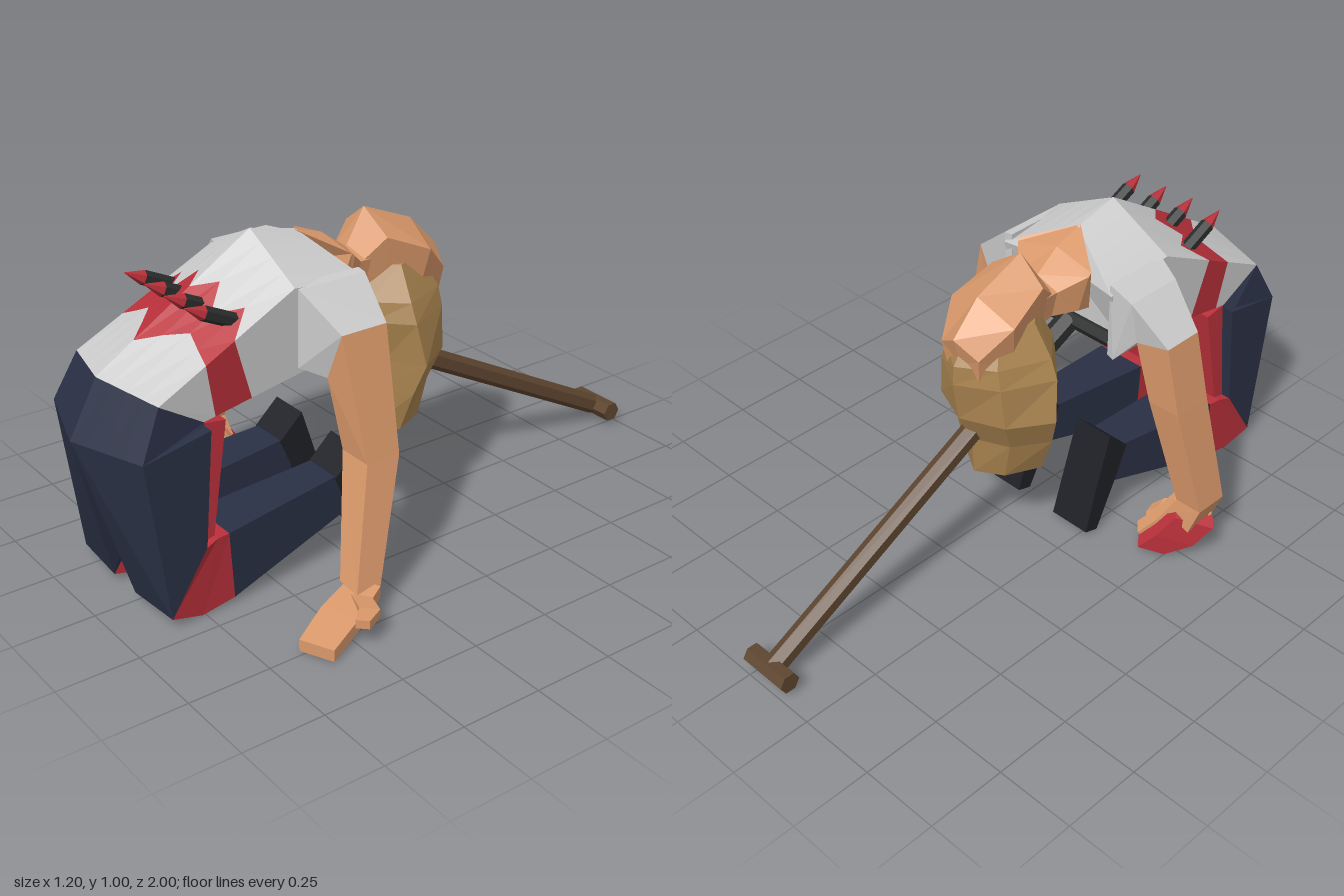
import * as THREE from 'three';

const CX = -0.06; // body centre line
const mat = (color) => new THREE.MeshStandardMaterial({ color, flatShading: true });
const SKIN = mat(0xd9986a), NAVY = mat(0x2a3045), RED = mat(0xb9303a), SHIRT = mat(0xcccccc);
const DARK = mat(0x2b2e2d), BOOT = mat(0x1e2026), WOOD = mat(0x5f4630), HAIR = mat(0xa9834f);
const lerp = THREE.MathUtils.lerp;

// Closed faceted solid through rings of equal point count, turned outward by its signed volume
function loft(name, material, rings) {
  const tris = [], n = rings[0].length;
  for (let i = 0; i < rings.length - 1; i++) {
    for (let j = 0; j < n; j++) {
      const k = (j + 1) % n, a = rings[i], b = rings[i + 1];
      tris.push([a[j], a[k], b[k]], [a[j], b[k], b[j]]);
    }
  }
  const cap = (r, flip) => {
    const c = [0, 1, 2].map((d) => r.reduce((s, p) => s + p[d], 0) / n);
    r.forEach((p, j) => {
      const q = r[(j + 1) % n];
      tris.push(flip ? [c, q, p] : [c, p, q]);
    });
  };
  cap(rings[0], true);
  cap(rings[rings.length - 1], false);
  let vol = 0;
  const v = (p) => new THREE.Vector3(...p);
  tris.forEach(([a, b, c]) => { vol += v(a).dot(v(b).cross(v(c))); });
  const pos = tris.flatMap(([a, b, c]) => (vol < 0 ? [...a, ...c, ...b] : [...a, ...b, ...c]));
  const geo = new THREE.BufferGeometry();
  geo.setAttribute('position', new THREE.Float32BufferAttribute(pos, 3));
  geo.computeVertexNormals();
  const mesh = new THREE.Mesh(geo, material);
  mesh.name = name;
  return mesh;
}

// Straight rod between two points
function rod(name, material, a, b, r0, r1 = r0, sides = 6) {
  const A = new THREE.Vector3(...a), d = new THREE.Vector3(...b).sub(A);
  const mesh = new THREE.Mesh(new THREE.CylinderGeometry(r1, r0, d.length(), sides), material);
  mesh.position.copy(A).addScaledVector(d, 0.5);
  mesh.quaternion.setFromUnitVectors(new THREE.Vector3(0, 1, 0), d.normalize());
  mesh.name = name;
  return mesh;
}

// Torso ring: ridged top side of nine points (each shifted by t) and a flat underside
function torsoRing(point, under) {
  const top = [];
  for (let i = 0; i <= 8; i++) top.push(point(i / 4 - 1, i));
  const [hw, z, y] = under;
  return [...top, [CX + hw * 0.95, y, z], [CX, y, z], [CX - hw * 0.95, y, z]];
}
const ridge = (hw, c, s, b) => torsoRing((u) => {
  const k = Math.abs(u);
  return [CX + u * hw, lerp(c[1], s[1], k), lerp(c[0], s[0], k)];
}, [hw, ...b]);
// Ring on the belly surface, ts giving the position along it from centre to side
const belly = (ts, tb) => torsoRing((u, i) => {
  const k = Math.abs(u), t = ts[Math.abs(i - 4)];
  return [CX + u * (0.225 - 0.01 * t),
    lerp(0.69 + 0.31 * t, 0.67 + 0.22 * t, k), lerp(0.91 - 0.5 * t, 0.85 - 0.44 * t, k)];
}, [0.225 - 0.01 * tb, 0.71 - 0.37 * tb, 0.58 + 0.06 * tb]);

// Five-sided section: top point, two sides, two bottom points, each as [z, y]
const section = (hw, t, s, b) => [[CX, t[1], t[0]], [CX + hw, s[1], s[0]],
  [CX + hw * 0.75, b[1], b[0]], [CX - hw * 0.75, b[1], b[0]], [CX - hw, s[1], s[0]]];

// Arm section: outer and inner edge, front and back z
const armRing = ([xo, yo, xi, yi, zf, zb]) =>
  [[xo, yo, zf], [xo, yo, zb], [xi, yi, zb], [xi, yi, zf]];

// Flat four-sided strip along a path, u and v being half width and half thickness
const slab = (path, u, v) => path.map(([x, y, z, k = 1]) =>
  [[1, 1], [1, -1], [-1, -1], [-1, 1]].map(([a, b]) =>
    [x + k * a * u[0] + b * v[0], y + k * a * u[1] + b * v[1], z + k * a * u[2] + b * v[2]]));

function torso() {
  const g = new THREE.Group();
  g.name = 'torso';
  const hip = ridge(0.25, [1.0, 0.525], [0.92, 0.53], [0.72, 0.54]);
  const flat = (t) => belly([t, t, t, t, t], t);
  const low = belly([0.24, 0.34, 0.43, 0.385, 0.34], 0.1);
  const high = belly([0.6, 0.72, 0.57, 0.72, 0.55], 0.42);
  const collar = ridge(0.215, [0.26, 0.965], [0.17, 0.86], [0.22, 0.7]);
  g.add(loft('hips', NAVY, [hip, flat(0)]));
  g.add(loft('shirtHem', SHIRT, [flat(0), low]));
  g.add(loft('stainedBand', RED, [low, high]));
  g.add(loft('shirtChest', SHIRT, [high, flat(1), collar]));
  return g;
}

function head() {
  const g = new THREE.Group();
  g.name = 'head';
  g.add(loft('neck', SKIN, [
    section(0.14, [0.27, 0.967], [0.165, 0.91], [0.2, 0.76]),
    section(0.14, [0.17, 0.935], [0.155, 0.9], [0.155, 0.77]),
    section(0.08, [0.09, 0.875], [0.09, 0.85], [0.09, 0.76]),
    section(0.08, [0, 0.88], [0, 0.85], [0, 0.74])]));
  g.add(loft('face', SKIN, [
    section(0.07, [0.085, 0.87], [0.085, 0.84], [0.07, 0.74]),
    section(0.1, [0.02, 0.98], [0.01, 0.91], [0, 0.72]),
    section(0.125, [-0.15, 0.91], [-0.13, 0.85], [-0.1, 0.68]),
    section(0.075, [-0.245, 0.81], [-0.22, 0.76], [-0.2, 0.62])]));
  const hairRing = ([y, hw, zb, zf]) => {
    const half = [[0.62, 0.22], [1, 0.7], [0.5, 1]].map(([k, f]) => [k * hw, lerp(zb, zf, f)]);
    return [[CX, y, zb], ...half.map(([x, z]) => [CX + x, y, z]),
      ...half.reverse().map(([x, z]) => [CX - x, y, z])];
  };
  g.add(loft('hair', HAIR, [[0.82, 0.11, -0.18, 0.03], [0.72, 0.17, -0.245, 0.07], [0.66, 0.195, -0.25, 0.07],
    [0.53, 0.215, -0.23, 0.03], [0.43, 0.18, -0.18, 0.04], [0.3, 0.13, -0.17, 0.05]].map(hairRing)));
  return g;
}

function arms() {
  const g = new THREE.Group();
  g.name = 'arms';
  const limb = (side, sleeve, arm) => {
    g.add(loft(side + 'Sleeve', SHIRT, [...sleeve, arm[0]].map(armRing)));
    g.add(loft(side + 'Arm', SKIN, arm.map(armRing)));
  };
  limb('left', [[0.13, 0.89, 0.13, 0.65, 0.4, 0.18], [0.16, 0.885, 0.15, 0.65, 0.4, 0.18]],
    [[0.285, 0.78, 0.215, 0.63, 0.35, 0.2], [0.37, 0.42, 0.255, 0.42, 0.33, 0.22],
      [0.455, 0.08, 0.375, 0.09, 0.43, 0.35]]);
  limb('right', [[-0.26, 0.89, -0.26, 0.65, 0.4, 0.18], [-0.35, 0.87, -0.29, 0.65, 0.36, 0.17]],
    [[-0.475, 0.765, -0.36, 0.735, 0.32, 0.19], [-0.52, 0.55, -0.41, 0.55, 0.33, 0.2],
      [-0.59, 0.2, -0.5, 0.2, 0.36, 0.25], [-0.56, 0.11, -0.47, 0.14, 0.34, 0.24]]);
  // Left hand, flat on the ground
  g.add(loft('leftHand', SKIN, slab([[0.425, 0.075, 0.38, 0.8], [0.475, 0.05, 0.5], [0.53, 0.022, 0.62, 0.9]],
    [0.055, 0, -0.025], [0, 0.018, 0])));
  g.add(loft('leftThumb', SKIN, slab([[0.46, 0.07, 0.42], [0.54, 0.08, 0.45], [0.575, 0.08, 0.5, 0.7]],
    [0.02, 0, -0.02], [0, 0.013, 0])));
  // Right hand, tilted, with a stained back half
  [['rightHand', SKIN, 0.02], ['rightHandStain', RED, -0.012]].forEach(([name, m, o]) => g.add(loft(name, m,
    slab([[-0.54, 0.15, 0.29], [-0.5, 0.08, 0.25], [-0.445, 0.03, 0.21, 0.7]].map(
      ([x, y, z, k]) => [x + o, y + o * 0.6, z + o, k]), [-0.045, -0.015, 0.035], [0.012, 0.008, 0.014]))));
  g.add(loft('rightThumb', SKIN, slab([[-0.5, 0.13, 0.28], [-0.44, 0.115, 0.26], [-0.4, 0.085, 0.25, 0.7]],
    [0.01, 0.02, 0.01], [0, 0.008, 0.015])));
  return g;
}

function leg(side, name) {
  const g = new THREE.Group();
  g.name = name;
  // Leg section: inner and outer x, front and back as [z, y]
  const ring = (xi, xo, f, b, fo = f) => [[CX + side * xi, f[1], f[0]], [CX + side * xo, fo[1], fo[0]],
    [CX + side * xo, b[1], b[0]], [CX + side * xi, b[1], b[0]]];
  const kneeTop = ring(0.06, 0.25, [0.87, 0.03], [0.74, 0.22], [0.86, 0.035]);
  const shinTop = ring(0.06, 0.235, [0.65, 0.02], [0.66, 0.23]);
  g.add(loft('thigh', NAVY, [ring(0, 0.25, [1.0, 0.525], [0.71, 0.57], [0.92, 0.53]), kneeTop]));
  g.add(loft('thighBackStain', RED, [ring(0.01, 0.21, [0.74, 0.58], [0.64, 0.565]),
    ring(0.06, 0.22, [0.76, 0.2], [0.7, 0.22])]));
  g.add(loft('knee', RED, [kneeTop, ring(0.06, 0.24, [0.76, 0.005], [0.7, 0.23]), shinTop]));
  g.add(loft('shin', NAVY, [shinTop, ring(0.08, 0.2, [0.24, 0.14], [0.24, 0.27])]));
  g.add(loft('boot', BOOT, [ring(0.075, 0.21, [0.28, 0.265], [0.2, 0.34]),
    ring(0.075, 0.21, [0.235, 0.16], [0.15, 0.18]), ring(0.075, 0.215, [0.15, 0.005], [0.1, 0.02])]));
  return g;
}

function fork() {
  const g = new THREE.Group();
  g.name = 'fork';
  g.add(rod('shaft', WOOD, [CX, 0.55, 0], [CX, 0.05, -0.96], 0.033));
  g.add(rod('grip', WOOD, [CX - 0.083, 0.05, -0.967], [CX + 0.083, 0.05, -0.967], 0.033));
  g.add(rod('socket', DARK, [CX, 0.53, -0.03], [CX, 0.655, 0.23], 0.036));
  g.add(rod('crossbar', DARK, [CX - 0.18, 0.66, 0.24], [CX + 0.18, 0.66, 0.24], 0.03));
  // Tines pass through the body and end in stained points
  for (let i = 0; i < 4; i++) {
    const x = CX + (i - 1.5) * 0.105;
    g.add(rod('tine', DARK, [x, 0.66, 0.24], [x, 0.865, 0.665], 0.022));
    g.add(rod('tineTip', RED, [x, 0.865, 0.665], [x, 0.892, 0.72], 0.022, 0.001));
  }
  return g;
}

export function createModel() {
  const model = new THREE.Group();
  model.name = 'kneelingFigure';
  model.add(torso(), head(), arms(), leg(1, 'leftLeg'), leg(-1, 'rightLeg'), fork());
  return model;
}
